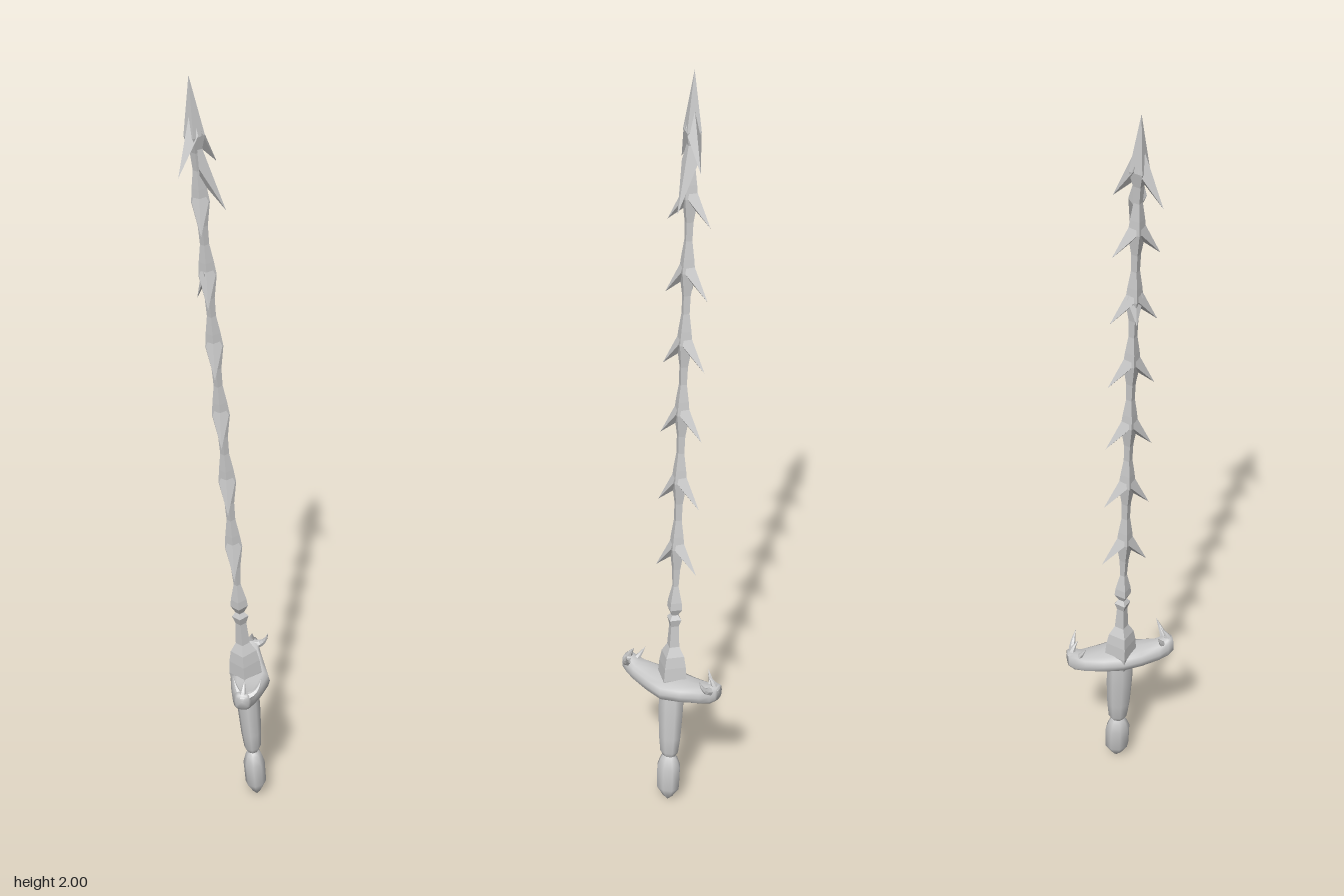
import * as THREE from 'three';
import { ConvexGeometry } from 'three/addons/geometries/ConvexGeometry.js';

const V = (x, y, z) => new THREE.Vector3(x, y, z);
const flat = new THREE.MeshStandardMaterial({ color: 0xcccccc, flatShading: true, side: THREE.DoubleSide });
const smooth = new THREE.MeshStandardMaterial({ color: 0xcccccc, side: THREE.DoubleSide });

function add(parent, name, geometry, material = flat) {
  const mesh = new THREE.Mesh(geometry, material);
  mesh.name = name;
  parent.add(mesh);
  return mesh;
}

// Turned part; profile is [radius, height] from the bottom up
const turned = (profile, sides) =>
  new THREE.LatheGeometry(profile.map(([r, y]) => new THREE.Vector2(r, y)), sides);

// Flat barb that sweeps down and outward along +z
const barb = (top, reach, drop, width = 0.02) => new ConvexGeometry([
  V(0, top, 0.004), V(0, top - drop * 0.6, 0.004),
  V(width, top - drop * 0.42, 0.006), V(-width, top - drop * 0.42, 0.006),
  V(0, top - drop, reach),
]);

// Tube along a curve that tapers to a point
function claw(points, radius) {
  const path = new THREE.CatmullRomCurve3(points);
  const seg = 6, sides = 6;
  const g = new THREE.TubeGeometry(path, seg, radius, sides);
  const pos = g.attributes.position, p = V(0, 0, 0);
  for (let i = 0; i < pos.count; i++) {
    const t = Math.floor(i / (sides + 1)) / seg;
    p.fromBufferAttribute(pos, i).lerp(path.getPointAt(t), t);
    pos.setXYZ(i, p.x, p.y, p.z);
  }
  g.computeVertexNormals();
  return g;
}

// Skin over rounded-box sections [z, centreX, centreY, radiusX, radiusY]
function loft(sections, sides) {
  const pos = [], idx = [];
  const soften = v => Math.sign(v) * Math.abs(v) ** 0.65;
  for (const [z, cx, cy, rx, ry] of sections) {
    for (let j = 0; j < sides; j++) {
      const a = (j / sides) * Math.PI * 2;
      pos.push(cx + rx * soften(Math.cos(a)), cy + ry * soften(Math.sin(a)), z);
    }
  }
  for (let i = 0; i < sections.length - 1; i++) {
    for (let j = 0; j < sides; j++) {
      const a = i * sides + j, b = i * sides + (j + 1) % sides;
      idx.push(a, b, a + sides, b, b + sides, a + sides);
    }
  }
  const g = new THREE.BufferGeometry();
  g.setAttribute('position', new THREE.Float32BufferAttribute(pos, 3));
  g.setIndex(idx);
  g.computeVertexNormals();
  return g;
}

export function createModel() {
  const root = new THREE.Group();
  root.name = 'barbedSword';

  // Leaning shaft carrying handle and blade
  const shaft = new THREE.Group();
  shaft.name = 'shaft';
  shaft.rotation.set(0, -0.11, 0.084, 'ZYX');
  shaft.position.x = 0.084;
  root.add(shaft);

  // Handle
  add(shaft, 'pommel', turned([[0, 0], [0.014, 0.014], [0.032, 0.042], [0.033, 0.105],
    [0.024, 0.13], [0.017, 0.14]], 8), smooth).scale.x = 0.85;
  add(shaft, 'grip', turned([[0.017, 0.14], [0.026, 0.155], [0.031, 0.2], [0.035, 0.28],
    [0.035, 0.34], [0.03, 0.38]], 8), smooth).scale.x = 0.85;
  add(shaft, 'collar', turned([[0.036, 0.34], [0.042, 0.385], [0.039, 0.42], [0.033, 0.45],
    [0.018, 0.475], [0.014, 0.535], [0.021, 0.555], [0.011, 0.567]], 4));

  // Blade core swelling at every barb
  const profile = [[0.011, 0.567], [0.022, 0.585], [0.02, 0.605], [0.009, 0.65]];
  const tops = [0, 1, 2, 3, 4, 5].map(i => 0.81 + i * 0.187);
  for (const y of tops) profile.push([0.012, y - 0.11], [0.022, y - 0.05], [0.018, y - 0.015], [0.011, y + 0.03]);
  profile.push([0.014, 1.82], [0.025, 1.86], [0, 2.006]);
  add(shaft, 'bladeCore', turned(profile, 4));

  // Paired barbs
  for (const turn of [0, Math.PI]) {
    tops.forEach(y => { add(shaft, 'barb', barb(y, 0.058, 0.115)).rotation.y = turn; });
    add(shaft, 'tipBarb', barb(1.93, 0.064, 0.155, 0.02)).rotation.y = turn - 0.7;
  }
  // Single side barbs near the tip
  add(shaft, 'sideBarb', barb(1.87, 0.058, 0.2, 0.022)).rotation.y = Math.PI / 2;
  add(shaft, 'sideBarb', barb(1.56, 0.03, 0.11)).rotation.y = -Math.PI / 2;

  // Crescent guard
  const guard = new THREE.Group();
  guard.name = 'guard';
  guard.rotation.y = -0.14;
  guard.position.x = 0.055;
  root.add(guard);
  const half = [[0.14, 0, 0.383, 0.001, 0.001], [0.14, 0, 0.383, 0.017, 0.02],
    [0.125, 0, 0.377, 0.022, 0.027], [0.1, 0.001, 0.367, 0.029, 0.024],
    [0.05, 0.005, 0.361, 0.041, 0.025], [0, 0.009, 0.36, 0.051, 0.026]];
  const mirrored = half.slice(0, -1).map(([z, ...rest]) => [-z, ...rest]);
  add(guard, 'guardBody', loft([...mirrored, ...half.reverse()], 12), smooth);

  // Claws at both guard ends
  for (const s of [-1, 1]) {
    add(guard, 'largeClaw', claw([V(0.006, 0.388, 0.125 * s), V(0.026, 0.396, 0.122 * s),
      V(0.038, 0.41, 0.117 * s), V(0.046, 0.436, 0.108 * s)], 0.013));
    add(guard, 'smallClaw', claw([V(-0.008, 0.385, 0.115 * s), V(-0.018, 0.402, 0.106 * s),
      V(-0.026, 0.425, 0.095 * s)], 0.01));
    add(guard, 'endClaw', claw([V(0, 0.39, 0.132 * s), V(0.002, 0.41, 0.125 * s),
      V(0.004, 0.432, 0.111 * s)], 0.012));
  }
  return root;
}
